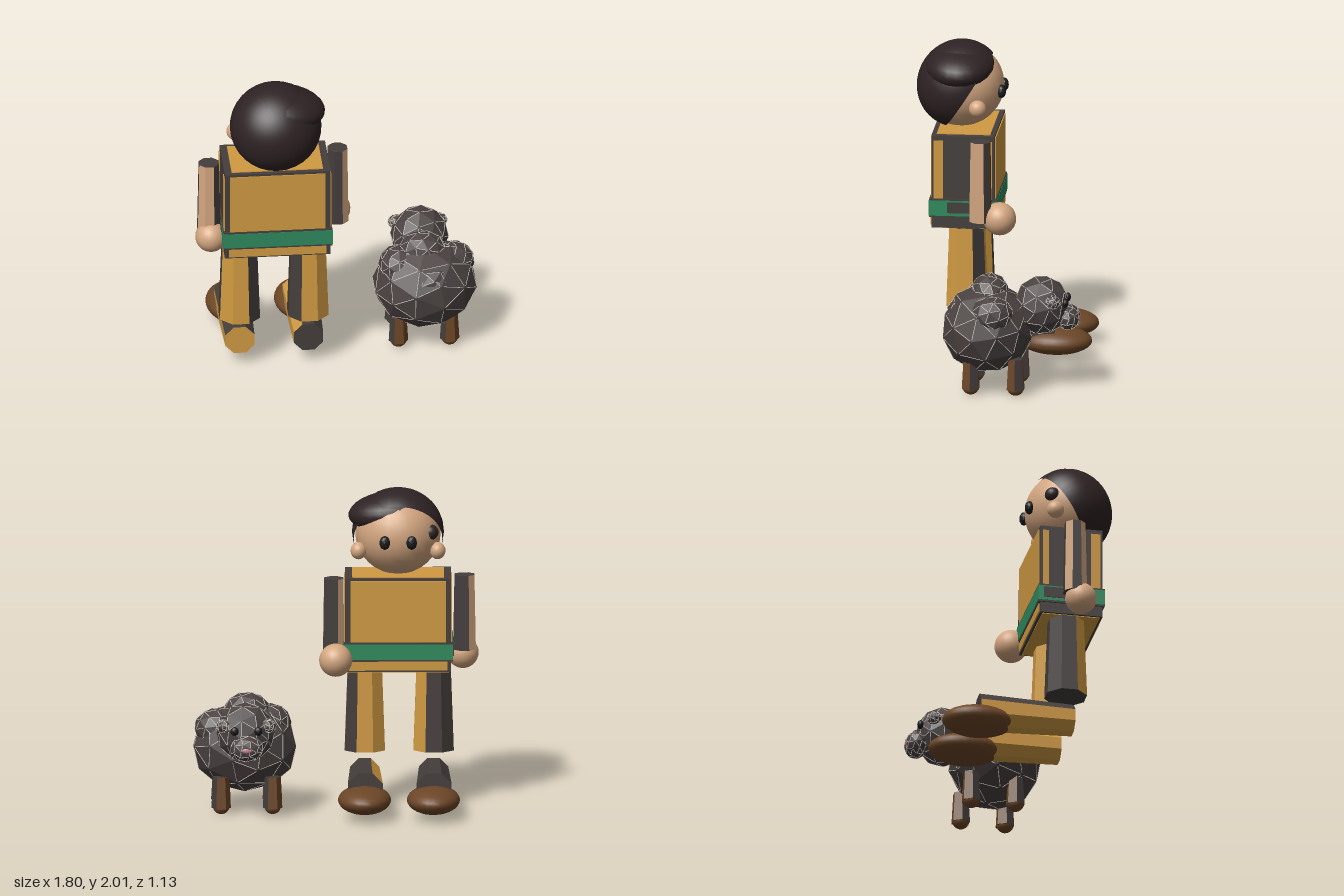
import * as THREE from 'three';
import { mergeGeometries } from 'three/addons/utils/BufferGeometryUtils.js';

const mat = (name, color) => {
  const m = new THREE.MeshStandardMaterial({ color });
  m.name = name;
  return m;
};

export function createModel() {
  const root = new THREE.Group();
  const boy = new THREE.Group(), sheep = new THREE.Group();
  boy.name = 'shepherdBoy';
  sheep.name = 'sheep';
  root.add(boy, sheep);

  const tan = mat('tanCloth', 0xd09a42), dark = mat('darkCloth', 0x443e3c);
  const skin = mat('skin', 0xd3a680), hair = mat('hair', 0x2e2224);
  const brown = mat('brownLeather', 0x6c4627), green = mat('greenBelt', 0x2f8a5e);
  const wool = mat('darkWool', 0x4a4241), white = mat('woolEdge', 0xded8d0);
  const pink = mat('pinkNose', 0xb87888), black = mat('eyeBlack', 0x1c1a1a);

  const add = (group, name, geo, material, x = 0, y = 0, z = 0) => {
    const m = new THREE.Mesh(geo, material);
    m.name = name;
    m.position.set(x, y, z);
    group.add(m);
    return m;
  };
  const ball = (group, name, material, [x, y, z], [rx, ry, rz], geo) => {
    const m = add(group, name, geo || new THREE.SphereGeometry(1, 24, 16), material, x, y, z);
    m.scale.set(rx, ry, rz);
    return m;
  };
  const box = (name, material, [x, y, z], [w, h, d]) =>
    add(boy, name, new THREE.BoxGeometry(w, h, d), material, x, y, z);

  // Eight-sided limb; each letter colours one side (face 0 looks to +z), then the caps
  const palette = { t: tan, d: dark, s: skin, b: brown };
  const limb = (group, name, sides, caps, rTop, rBottom, h, x, y, z) => {
    const n = sides.length;
    const g = new THREE.CylinderGeometry(rTop, rBottom, h, n, 1, false, -Math.PI / n).toNonIndexed();
    g.computeVertexNormals();
    g.clearGroups();
    for (let i = 0; i < n; i++) g.addGroup(i * 6, 6, i);
    g.addGroup(n * 6, n * 3, n);
    g.addGroup(n * 9, n * 3, n + 1);
    return add(group, name, g, [...sides, ...caps].map(c => palette[c]), x, y, z);
  };

  // Torso: dark core with tan panels, belt and hem
  const cx = -0.395, cz = 0.235;
  box('torso', dark, [cx, 1.17, cz], [0.67, 0.6, 0.4]);
  box('shoulderPanel', tan, [cx, 1.471, cz], [0.58, 0.008, 0.34]);
  box('hemUnderside', tan, [cx, 0.869, cz], [0.64, 0.008, 0.37]);
  for (const s of [-1, 1]) {
    const z = cz + s * 0.202;
    box('torsoPanel', tan, [cx, 1.255, z], [0.605, 0.4, 0.009]);
    box('hemPanel', tan, [cx, 0.91, z], [0.62, 0.06, 0.009]);
    box('sideStrip', tan, [cx + s * 0.337, 1.25, cz + 0.155], [0.008, 0.38, 0.06]);
    box('sideStrip', tan, [cx + s * 0.337, 1.25, cz - 0.165], [0.008, 0.38, 0.04]);
    box('beltSidePanel', dark, [cx + s * 0.349, 1.005, cz - 0.04], [0.006, 0.07, 0.28]);
  }
  box('belt', green, [cx, 1.0, cz], [0.695, 0.1, 0.43]);
  for (const y of [0.945, 1.055]) box('beltEdge', dark, [cx, y, cz], [0.69, 0.012, 0.425]);

  // Arms and hands
  limb(boy, 'rightArm', 'sddddsds', 'dd', 0.068, 0.078, 0.48, -0.815, 1.22, 0.24);
  limb(boy, 'leftArm', 'dssddsdd', 'dd', 0.066, 0.074, 0.52, 0.012, 1.2, 0.115);
  ball(boy, 'rightHand', skin, [-0.805, 0.95, 0.28], [0.1, 0.1, 0.1]);
  ball(boy, 'leftHand', skin, [0, 0.955, -0.005], [0.105, 0.105, 0.105]);

  // Legs and shoes
  const legs = [
    ['right', -0.62, 'tdttdddt', 'ddtttttd', 't'],
    ['left', -0.185, 'tttdttdd', 'dddttttt', 'd'],
  ];
  for (const [side, x, thigh, shin, cap] of legs) {
    limb(boy, side + 'Thigh', thigh, 'dd', 0.118, 0.138, 0.52, x, 0.6, 0.22);
    const s = limb(boy, side + 'Shin', shin, 'd' + cap, 0.12, 0.1, 0.61, x, 0.18, -0.04);
    s.rotation.x = -Math.PI / 2;
    ball(boy, side + 'Shoe', brown, [x + 0.005, 0.122, -0.345], [0.168, 0.088, 0.23]);
  }

  // Head, ears and eyes
  ball(boy, 'head', skin, [-0.395, 1.725, 0.275], [0.27, 0.265, 0.27]);
  for (const s of [-1, 1]) {
    ball(boy, 'ear', skin, [-0.395 + s * 0.25, 1.63, 0.15], [0.05, 0.055, 0.055]);
    const eye = new THREE.IcosahedronGeometry(1, 1);
    eye.computeVertexNormals();
    ball(boy, 'eye', black, [-0.395 + s * 0.085, 1.705, 0.015], [0.035, 0.045, 0.03], eye);
  }

  // Hair: cap leaning to the back, swept fringe and a sideburn
  const cap = ball(boy, 'hairCap', hair, [-0.395, 1.73, 0.285], [0.29, 0.27, 0.285],
    new THREE.SphereGeometry(1, 32, 20, 0, Math.PI * 2, 0, 1.83));
  cap.rotation.x = 1.0;
  const fringe = ball(boy, 'hairFringe', hair, [-0.345, 1.86, 0.28], [0.265, 0.125, 0.22]);
  fringe.rotation.z = -0.12;
  ball(boy, 'sideburn', hair, [-0.6, 1.75, 0.14], [0.05, 0.05, 0.05]);

  // Faceted wool clump with pale ridges on part of its edges
  const up = new THREE.Vector3(0, 1, 0);
  const clump = (name, [x, y, z], [rx, ry, rz], turn) => {
    const g = new THREE.IcosahedronGeometry(1, 1);
    g.rotateY(turn);
    g.rotateX(turn * 0.6);
    g.scale(rx, ry, rz);
    g.computeVertexNormals();
    add(sheep, name, g, wool, x, y, z);
    const p = new THREE.EdgesGeometry(g, 1).attributes.position;
    const ridges = [];
    for (let i = 0; i < p.count; i += 2) {
      if (i % 6 === 2) continue;
      const a = new THREE.Vector3().fromBufferAttribute(p, i);
      const b = new THREE.Vector3().fromBufferAttribute(p, i + 1);
      const d = b.clone().sub(a);
      const r = new THREE.CylinderGeometry(0.0025, 0.0025, d.length() * 0.85, 4, 1, true);
      r.applyQuaternion(new THREE.Quaternion().setFromUnitVectors(up, d.normalize()));
      const mid = a.add(b).multiplyScalar(0.5);
      r.translate(mid.x, mid.y, mid.z);
      ridges.push(r);
    }
    add(sheep, name + 'Ridges', mergeGeometries(ridges), white, x, y, z);
  };
  clump('body', [0.575, 0.4, 0.01], [0.335, 0.285, 0.295], 0.3);
  clump('backWool', [0.56, 0.63, 0], [0.15, 0.12, 0.12], 0.9);
  clump('sideWool', [0.41, 0.55, 0.03], [0.13, 0.12, 0.14], 0.5);
  clump('sideWool', [0.76, 0.53, -0.03], [0.135, 0.12, 0.14], 1.3);
  clump('rumpWool', [0.6, 0.47, 0.15], [0.16, 0.14, 0.13], 0.1);
  clump('sheepHead', [0.572, 0.555, -0.33], [0.185, 0.19, 0.175], 0.4);
  clump('snout', [0.565, 0.48, -0.5], [0.105, 0.085, 0.075], 0.8);
  for (const s of [-1, 1]) {
    clump('sheepEar', [0.567 + s * 0.135, 0.61, -0.41], [0.055, 0.045, 0.05], 0.2);
    ball(sheep, 'sheepEye', black, [0.567 + s * 0.075, 0.59, -0.488], [0.026, 0.028, 0.02]);
  }
  const nose = ball(sheep, 'nose', pink, [0.565, 0.48, -0.565], [0.035, 0.018, 0.01]);
  nose.rotation.x = 0.2;

  // Sheep legs with rounded hooves
  for (const x of [0.4, 0.725]) for (const z of [0.105, -0.18]) {
    limb(sheep, 'sheepLeg', 'bbdbbd', 'db', 0.05, 0.062, 0.2, x, 0.14, z);
    ball(sheep, 'hoof', brown, [x, 0.048, z], [0.052, 0.048, 0.052]);
  }
  return root;
}
